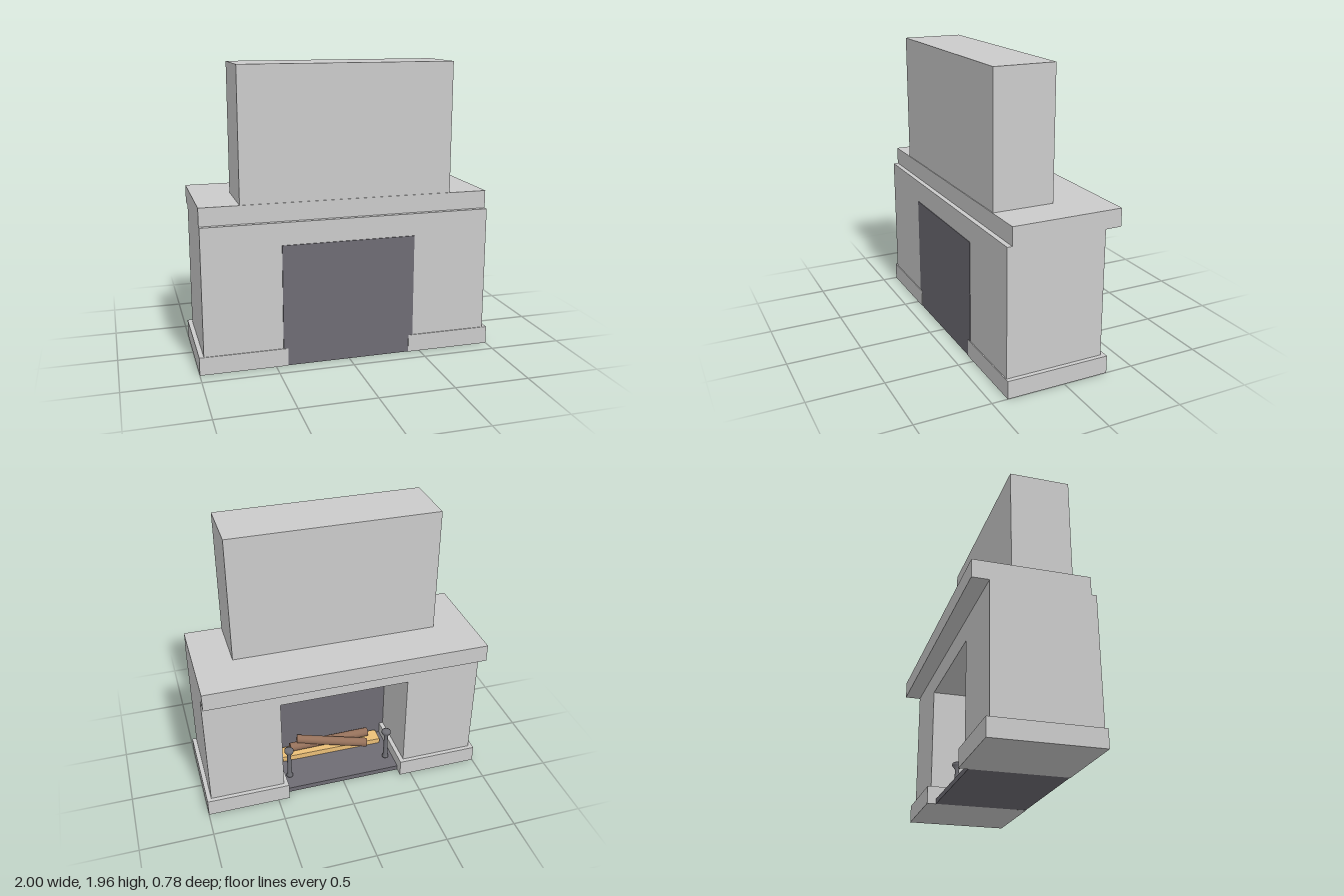
import * as THREE from 'three';

const mat = (color) => new THREE.MeshStandardMaterial({ color });
const stone = mat(0xcccccc);
const soot = mat(0x6e6c74);
const iron = mat(0x707076);
const plankWood = mat(0xecc078);
const bark = mat(0x94705a);

export function createModel() {
  const model = new THREE.Group();

  const add = (name, geometry, material) => {
    const mesh = new THREE.Mesh(geometry, material);
    mesh.name = name;
    model.add(mesh);
    return mesh;
  };

  // Box given by its limits on each axis
  const block = (name, [x0, x1], [y0, y1], [z0, z1], material = stone) => {
    const mesh = add(name, new THREE.BoxGeometry(x1 - x0, y1 - y0, z1 - z0), material);
    mesh.position.set((x0 + x1) / 2, (y0 + y1) / 2, (z0 + z1) / 2);
    return mesh;
  };

  // Surround: an arch-shaped wall with a rectangular opening
  const outline = new THREE.Shape([
    [-0.97, 0], [-0.45, 0], [-0.45, 0.82], [0.45, 0.82],
    [0.45, 0], [0.97, 0], [0.97, 0.97], [-0.97, 0.97],
  ].map(([x, y]) => new THREE.Vector2(x, y)));
  const surround = add('surround',
    new THREE.ExtrudeGeometry(outline, { depth: 0.668, bevelEnabled: false }), stone);
  surround.position.z = -0.28;

  // Plinths at the foot of each side
  for (const s of [-1, 1]) {
    const limits = s > 0 ? [0.42, 1] : [-1, -0.42];
    block(s > 0 ? 'leftPlinth' : 'rightPlinth', limits, [0, 0.12], [-0.31, 0.394]);
  }

  // Shelf and chimney breast
  block('mantelShelf', [-0.97, 0.97], [0.97, 1.09], [-0.39, 0.355]);
  block('chimneyBreast', [-0.71, 0.71], [1.09, 1.96], [-0.06, 0.35]);

  // Dark firebox lining
  block('fireback', [-0.449, 0.449], [0.001, 0.819], [0.165, 0.391], soot);
  block('hearthFloor', [-0.42, 0.42], [0, 0.035], [-0.25, 0.3], soot);

  // Firewood: a flat plank with two round logs across it
  block('plank', [-0.38, 0.38], [0.035, 0.075], [0.04, 0.15], plankWood);
  const log = (name, from, to, radius) => {
    const a = new THREE.Vector3(...from);
    const b = new THREE.Vector3(...to);
    const dir = b.clone().sub(a);
    const mesh = add(name, new THREE.CylinderGeometry(radius, radius, dir.length(), 16), bark);
    mesh.position.copy(a).add(b).multiplyScalar(0.5);
    mesh.quaternion.setFromUnitVectors(new THREE.Vector3(0, 1, 0), dir.normalize());
  };
  log('rearLog', [0.31, 0.108, 0.1], [-0.3, 0.108, 0.11], 0.033);
  log('crossLog', [0.25, 0.155, 0.125], [-0.26, 0.1, 0], 0.033);

  // Andirons: turned posts with a flared head
  const profile = [
    [0, 0.035], [0.024, 0.035], [0.024, 0.045], [0.017, 0.06], [0.014, 0.235],
    [0.033, 0.262], [0.033, 0.28], [0.022, 0.286], [0, 0.286],
  ].map(([r, y]) => new THREE.Vector2(r, y));
  for (const s of [-1, 1]) {
    const post = add(s > 0 ? 'leftAndiron' : 'rightAndiron',
      new THREE.LatheGeometry(profile, 20), iron);
    post.position.set(s * 0.37, 0, -0.12);
  }

  return model;
}
